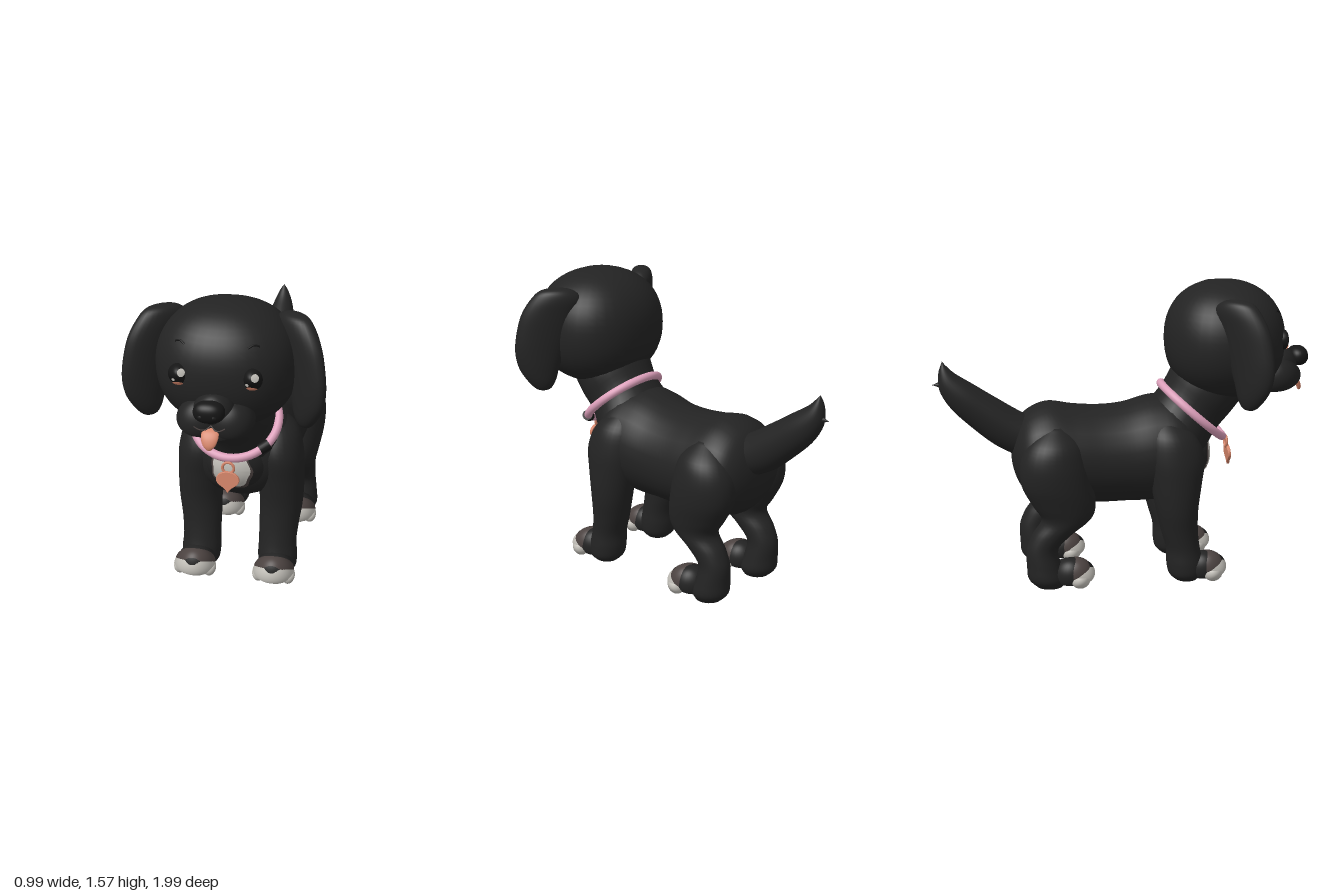
import * as THREE from 'three';

const mat = (name, color, side = THREE.FrontSide) => {
  const m = new THREE.MeshStandardMaterial({ color, side });
  m.name = name;
  return m;
};

// Closed smooth skin through cross-sections; section(row) gives [centre, axisU, axisV]
function loft(rows, section, steps = 5, n = 28) {
  const rings = [], pos = [], idx = [];
  const cr = (a, b, c, d, t) =>
    0.5 * (2 * b + (c - a) * t + (2 * a - 5 * b + 4 * c - d) * t * t + (3 * b - a - 3 * c + d) * t * t * t);
  const last = rows.length - 1;
  for (let i = 0; i <= last * steps; i++) {
    const k = Math.min(Math.floor(i / steps), last - 1), t = i / steps - k;
    const at = j => rows[Math.max(0, Math.min(last, j))];
    rings.push(rows[0].map((_, c) => cr(at(k - 1)[c], at(k)[c], at(k + 1)[c], at(k + 2)[c], t)));
  }
  const centres = rings.map(r => section(r));
  for (const [c, u, v] of centres)
    for (let j = 0; j < n; j++) {
      const a = j / n * Math.PI * 2, p = Math.cos(a), q = Math.sin(a);
      pos.push(c[0] + u[0] * p + v[0] * q, c[1] + u[1] * p + v[1] * q, c[2] + u[2] * p + v[2] * q);
    }
  const m = rings.length;
  pos.push(...centres[0][0], ...centres[m - 1][0]);
  for (let j = 0; j < n; j++) {
    const k = (j + 1) % n;
    for (let i = 0; i < m - 1; i++) {
      const a = i * n + j, b = i * n + k;
      idx.push(a, b, a + n, b, b + n, a + n);
    }
    idx.push(m * n, k, j, m * n + 1, (m - 1) * n + j, (m - 1) * n + k);
  }
  // Turn the faces outward if the rows run the other way
  const p = i => new THREE.Vector3().fromArray(pos, i * 3);
  let vol = 0;
  for (let i = 0; i < idx.length; i += 3) vol += p(idx[i]).dot(p(idx[i + 1]).cross(p(idx[i + 2])));
  if (vol < 0) idx.reverse();
  const g = new THREE.BufferGeometry();
  g.setAttribute('position', new THREE.Float32BufferAttribute(pos, 3));
  g.setIndex(idx);
  g.computeVertexNormals();
  return g;
}

// Rounded mass; power above 2 makes it squarer
function blob([cx, cy, cz], [rx, ry, rz], power = 2) {
  const g = new THREE.SphereGeometry(1, 40, 28), a = g.attributes.position;
  for (let i = 0; i < a.count; i++) {
    const v = new THREE.Vector3().fromBufferAttribute(a, i);
    const s = [v.x, v.y, v.z].reduce((t, c) => t + Math.abs(c) ** power, 0) ** (-1 / power);
    a.setXYZ(i, cx + v.x * s * rx, cy + v.y * s * ry, cz + v.z * s * rz);
  }
  if (power !== 2) g.computeVertexNormals();
  else g.attributes.normal.copy(new THREE.SphereGeometry(1, 40, 28).scale(1 / rx, 1 / ry, 1 / rz).attributes.normal);
  return g;
}
// Front surface height of a blob
const front = ([cx, cy, cz], [rx, ry, rz], power = 2) => (x, y) =>
  cz + rz * Math.max(0, 1 - Math.abs((x - cx) / rx) ** power - Math.abs((y - cy) / ry) ** power) ** (1 / power);

// Thin painted patch laid on a surface
function decal(x, y, rx, ry, surf, lift, wave = 0) {
  const g = new THREE.RingGeometry(0.001, 1, 40, 6), a = g.attributes.position;
  for (let i = 0; i < a.count; i++) {
    const w = 1 + wave * Math.cos(Math.atan2(a.getY(i), a.getX(i)) * 7);
    const px = x + a.getX(i) * rx * w, py = y + a.getY(i) * ry * w;
    a.setXYZ(i, px, py, surf(px, py) + lift);
  }
  g.computeVertexNormals();
  return g;
}
const line = (pts, r) => new THREE.TubeGeometry(
  new THREE.CatmullRomCurve3(pts.map(p => new THREE.Vector3(...p))), 16, r, 8);

export function createModel() {
  const model = new THREE.Group();
  model.name = 'puppy';
  const fur = mat('black fur', 0x232323), dark = mat('deep black', 0x161616);
  const white = mat('pale fur', 0xc6c3bc), trim = mat('fur edge', 0x4c4341);
  const pink = mat('pink collar', 0xdc9fba), copper = mat('copper', 0xd5856a, THREE.DoubleSide);
  const add = (name, g, m, parent = model) => {
    const mesh = new THREE.Mesh(g, m);
    mesh.name = name;
    parent.add(mesh);
    return mesh;
  };

  // Torso: z, top, bottom, half width
  add('body', loft([
    [.425, .67, .65, .001], [.41, .77, .56, .12], [.36, .88, .47, .22], [.27, .96, .42, .285], [.14, .965, .4, .285],
    [0, .93, .4, .272], [-.13, .92, .4, .272], [-.27, .93, .41, .28], [-.4, .95, .42, .28], [-.5, .915, .45, .26],
    [-.56, .85, .52, .2], [-.59, .77, .6, .11], [-.6, .7, .68, .001],
  ], ([z, t, b, w]) => [[0, (t + b) / 2, z], [w, 0, 0], [0, (t - b) / 2, 0]]), fur);

  // Neck, leaning forward: z, y, half width, half depth
  add('neck', loft([[.16, .64, .2, .17], [.24, .74, .25, .2], [.345, .89, .2, .188], [.42, 1.0, .21, .2], [.5, 1.1, .2, .2]],
    ([z, y, w, d]) => [[0, y, z], [w, 0, 0], [0, -.66 * d, .75 * d]]), fur);

  // Tail: z, y, radius
  add('tail', loft([[-.45, .74, .12], [-.6, .81, .112], [-.74, .91, .1], [-.85, 1.0, .085], [-.92, 1.075, .06],
    [-.945, 1.14, .03], [-.945, 1.185, .001]],
    ([z, y, r]) => [[0, y, z], [r * .9, 0, 0], [0, .72 * r, .7 * r]]), fur);
  const tuft = add('tailTuft', new THREE.ConeGeometry(.035, .09, 14), fur);
  tuft.position.set(0, 1.065, -.955);
  tuft.rotation.x = -1.6;

  // Chest tuft and pale patch
  const chest = [[0, .65, .3], [.19, .17, .16]], chestZ = front(...chest);
  add('chestTuft', blob(...chest), fur);
  add('chestPatchEdge', decal(-.01, .625, .108, .128, chestZ, .003, .05), trim);
  add('chestPatch', decal(-.01, .635, .097, .115, chestZ, .007, .04), white);

  // Legs: y, z, half width, half depth, x
  const legSection = s => ([y, z, w, d, x]) => [[s * x, y, z], [w, 0, 0], [0, 0, d]];
  const frontLeg = [[.88, .2, .03, .04, .17], [.8, .22, .1, .12, .19], [.68, .24, .125, .155, .2], [.54, .245, .12, .135, .212],
    [.4, .25, .113, .112, .215], [.28, .265, .104, .098, .207], [.18, .285, .099, .09, .203], [.1, .295, .103, .097, .205],
    [.04, .3, .095, .09, .207], [.004, .305, .06, .06, .207]];
  const rearLeg = [[.86, -.38, .04, .05, .17], [.78, -.39, .115, .135, .19], [.68, -.395, .14, .175, .198], [.56, -.38, .138, .185, .2],
    [.45, -.345, .118, .165, .2], [.37, -.335, .1, .13, .2], [.29, -.41, .088, .105, .2], [.21, -.462, .08, .084, .2],
    [.12, -.455, .09, .09, .2], [.05, -.44, .095, .098, .2], [.004, -.425, .065, .07, .2]];
  function paw(parent, x, z, name) {
    const g = new THREE.Group();
    g.name = name;
    parent.add(g);
    add('pawTop', blob([x, .075, z - .1], [.1, .072, .12]), fur, g);
    add('pawEdge', blob([x, .078, z - .075], [.106, .068, .085]), trim, g);
    add('pawFront', blob([x, .07, z - .062], [.109, .06, .085]), white, g);
    for (const k of [-1.5, -.5, .5, 1.5])
      add('toe', blob([x + k * .052, .055, z - .045 - Math.abs(k) * .012], [.034, .046, .05]), white, g);
  }
  for (const s of [1, -1]) {
    const side = s > 0 ? 'left' : 'right';
    add(side + 'FrontLeg', loft(frontLeg, legSection(s)), fur);
    add(side + 'RearLeg', loft(rearLeg, legSection(s)), fur);
    paw(model, s * .21, .497, side + 'FrontPaw');
    paw(model, s * .205, -.21, side + 'RearPaw');
  }

  // Head and muzzle
  const head = new THREE.Group();
  head.name = 'head';
  model.add(head);
  const skull = [[0, 1.262, .535], [.347, .308, .313], 2.25], faceZ = front(...skull);
  add('skull', blob(...skull), fur, head);
  add('bridge', blob([0, 1.13, .83], [.1, .075, .11]), fur, head);
  add('chin', blob([0, 1.01, .79], [.11, .045, .11]), fur, head);
  add('nose', blob([0, 1.155, .94], [.075, .052, .052], 2.3), dark, head);
  const lip = [[.075, 1.07, .8], [.112, .09, .135]], lipZ = front(...lip);

  for (const s of [1, -1]) {
    const side = s > 0 ? 'left' : 'right';
    add(side + 'Lip', blob([s * lip[0][0], lip[0][1], lip[0][2]], lip[1]), fur, head);
    add(side + 'Nostril', blob([s * .03, 1.145, .982], [.014, .011, .008]), fur, head);
    add(side + 'Smile', line([0, .025, .05, .075].map((x, i) =>
      [s * x, [1.07, 1.056, 1.06, 1.075][i], lipZ(x, 1.06) + .003]), .003), trim, head);

    // Eye with glints and a warm lower rim
    const ex = s * .175, eye = [[ex, 1.28, faceZ(ex, 1.28) - .005], [.05, .053, .025]], eyeZ = front(...eye);
    add(side + 'Eye', blob(...eye), dark, head);
    add(side + 'EyeGlint', decal(ex + .018, 1.295, .018, .02, eyeZ, .004), white, head);
    add(side + 'EyeSpark', decal(ex - .02, 1.258, .008, .008, eyeZ, .004), white, head);
    add(side + 'EyeRim', decal(ex, 1.239, .027, .01, eyeZ, .006), copper, head);
    add(side + 'Brow', line([[.15, 1.42], [.175, 1.432], [.2, 1.425]].map(([x, y]) =>
      [s * x, y, faceZ(x, y)]), .005), dark, head);

    // Hanging ear, angled forward: y, inner x, outer x, half thickness
    add(side + 'Ear', loft([[1.522, .315, .325, .002], [1.507, .26, .385, .045], [1.46, .225, .425, .062], [1.38, .24, .462, .062],
      [1.28, .265, .483, .058], [1.18, .295, .491, .054], [1.09, .32, .478, .05], [1.02, .335, .447, .042],
      [.975, .355, .415, .025], [.962, .38, .39, .002]],
      ([y, a, b, t]) => {
        const x = (a + b) / 2, h = (b - a) / 2;
        return [[s * x, y, .48 + (x - .27) * .9], [s * h, 0, h * .9], [s * t * .67, 0, -t * .74]];
      }), fur, head);
  }
  add('mouthLine', line([[0, 1.11, lipZ(0, 1.1) + .004], [0, 1.09, lipZ(0, 1.09) + .004], [0, 1.07, lipZ(0, 1.07) + .004]], .003), trim, head);

  // Tongue, tapering to the tip
  add('tongue', loft([[1.058, .9, .025, .012], [1.045, .918, .04, .014], [1.02, .937, .041, .014], [.99, .95, .03, .012],
    [.97, .953, .012, .007], [.966, .953, .001, .001]],
    ([y, z, w, d]) => [[0, y, z], [w, 0, 0], [0, 0, d]]), copper, head);

  // Collar with buckle and hanging tag
  const collar = new THREE.Group();
  collar.name = 'collar';
  collar.position.set(0, .88, .365);
  collar.rotation.x = -.85;
  model.add(collar);
  add('band', new THREE.TorusGeometry(.217, .022, 16, 64), pink, collar);
  const buckle = add('buckle', new THREE.CylinderGeometry(.028, .028, .055, 20), dark, collar);
  buckle.position.set(.165, -.141, 0);
  buckle.rotation.z = -.863;

  add('tagRing', new THREE.TorusGeometry(.029, .007, 10, 28), copper).position.set(0, .695, .556);
  const heart = new THREE.Shape();
  heart.moveTo(0, .05);
  for (const s of [1, -1]) {
    if (s > 0) heart.bezierCurveTo(.02, .05, .055, .04, .056, .01).bezierCurveTo(.056, -.02, .02, -.02, 0, -.055);
    else heart.bezierCurveTo(-.02, -.02, -.056, -.02, -.056, .01).bezierCurveTo(-.055, .04, -.02, .05, 0, .05);
  }
  const tag = add('tag', new THREE.ExtrudeGeometry(heart, {
    depth: .01, bevelEnabled: true, bevelSize: .003, bevelThickness: .003, bevelSegments: 2, curveSegments: 10 }), copper);
  tag.position.set(0, .625, .562);
  tag.rotation.x = -.08;
  return model;
}
